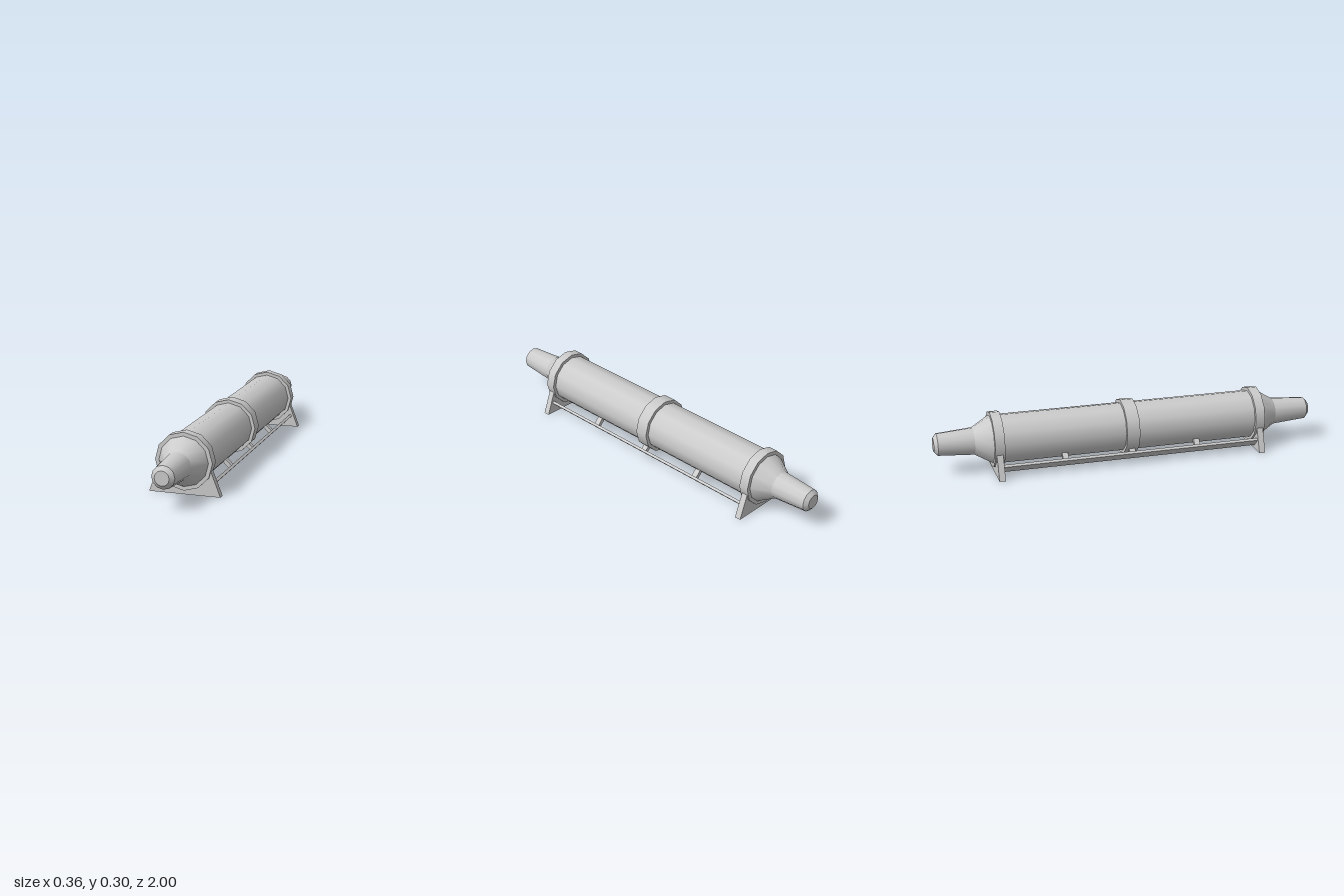
import * as THREE from 'three';

const SIDES = 12;
const AXIS_Y = 0.162;

export function createModel() {
  const model = new THREE.Group();
  const material = new THREE.MeshStandardMaterial({ color: 0xcccccc });

  const add = (parent, name, geometry) => {
    const mesh = new THREE.Mesh(geometry, material);
    mesh.name = name;
    parent.add(mesh);
    return mesh;
  };

  // Round section along z, from zBack to zFront
  const section = (parent, name, zBack, rBack, zFront, rFront, open = false) => {
    const geo = new THREE.CylinderGeometry(rFront, rBack, zFront - zBack, SIDES, 1, open);
    geo.rotateX(Math.PI / 2);
    geo.translate(0, AXIS_Y, (zBack + zFront) / 2);
    return add(parent, name, geo);
  };

  // Main tube and its middle band
  section(model, 'body', -0.7, 0.125, 0.7, 0.125);
  section(model, 'middleBand', -0.034, 0.142, 0.034, 0.142);

  // Each end: collar, cone, tapering nozzle and foot
  const footShape = new THREE.Shape([
    new THREE.Vector2(-0.178, 0), new THREE.Vector2(0.178, 0),
    new THREE.Vector2(0.13, 0.125), new THREE.Vector2(-0.13, 0.125),
  ]);
  for (const end of ['front', 'back']) {
    const group = new THREE.Group();
    group.name = end + 'End';
    section(group, 'collar', 0.662, 0.142, 0.712, 0.142);
    section(group, 'cone', 0.7, 0.13, 0.8, 0.07, true);
    section(group, 'nozzle', 0.8, 0.07, 0.982, 0.057, true);
    section(group, 'nozzleTip', 0.982, 0.057, 1, 0.036);
    const foot = new THREE.ExtrudeGeometry(footShape, { depth: 0.032, bevelEnabled: false });
    foot.translate(0, 0, 0.672);
    add(group, 'foot', foot);
    if (end === 'back') group.rotation.y = Math.PI;
    model.add(group);
  }

  // Slanted rail under each side, held off the body by short struts
  for (const side of [1, -1]) {
    const group = new THREE.Group();
    group.name = side > 0 ? 'leftRail' : 'rightRail';
    group.position.set(side * 0.12, 0.045, 0);
    group.rotation.z = side * Math.PI / 4;
    add(group, 'rail', new THREE.BoxGeometry(0.057, 0.014, 1.36));
    for (const z of [-0.35, 0, 0.35]) {
      add(group, 'strut', new THREE.BoxGeometry(0.02, 0.06, 0.03)).position.set(0, 0.03, z);
    }
    model.add(group);
  }

  return model;
}
